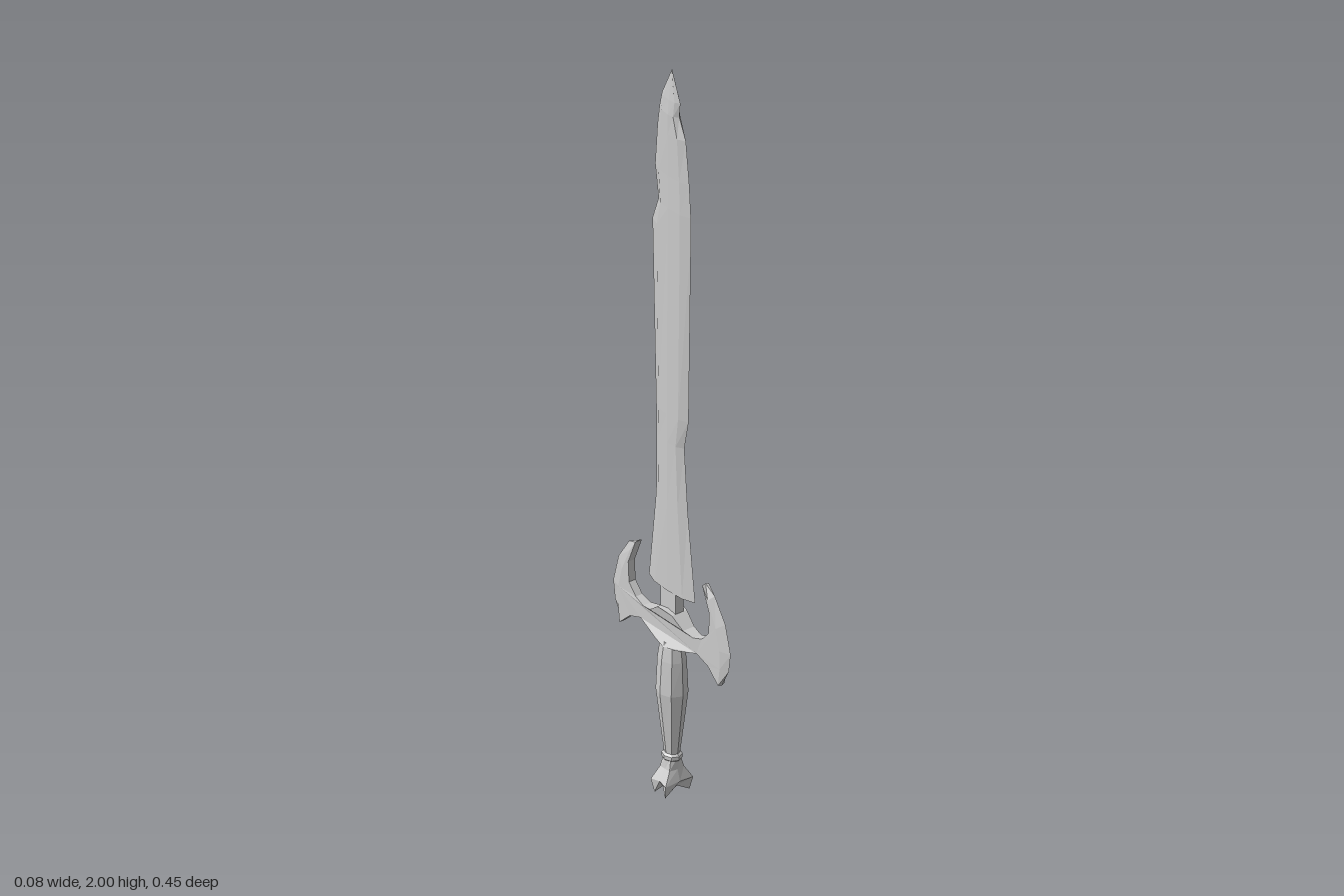
import * as THREE from 'three';

const material = new THREE.MeshStandardMaterial({ color: 0xcccccc, flatShading: true });

// Skins a stack of rings (arrays of [x, y, z], counter-clockwise from above, bottom to top) and caps both ends.
function loft(name, rings) {
  const pos = [];
  const n = rings[0].length;
  const middle = (ring) => [0, 1, 2].map((k) => ring.reduce((s, p) => s + p[k], 0) / n);
  const first = rings[0], last = rings[rings.length - 1];
  const bottom = middle(first), top = middle(last);
  for (let j = 0; j < n; j++) {
    const k = (j + 1) % n;
    for (let i = 0; i < rings.length - 1; i++) {
      const a = rings[i][j], b = rings[i][k], c = rings[i + 1][k], d = rings[i + 1][j];
      pos.push(...a, ...b, ...c, ...a, ...c, ...d);
    }
    pos.push(...bottom, ...first[k], ...first[j], ...top, ...last[j], ...last[k]);
  }
  const geometry = new THREE.BufferGeometry();
  geometry.setAttribute('position', new THREE.Float32BufferAttribute(pos, 3));
  geometry.computeVertexNormals();
  const mesh = new THREE.Mesh(geometry, material);
  mesh.name = name;
  return mesh;
}

// Eight-sided ring with separate half widths in x and z.
function octagon(y, rx, rz) {
  return Array.from({ length: 8 }, (_, i) => {
    const a = (i * Math.PI) / 4;
    return [rx * Math.cos(a), y, -rz * Math.sin(a)];
  });
}

// Ridged, bevelled blade; each row is height, reach to -z, reach to +z, half thickness.
function makeBlade() {
  const rows = [
    [0.56, 0.087, 0.088, 0.015], [0.8, 0.06, 0.06, 0.015], [0.97, 0.058, 0.047, 0.015],
    [1.05, 0.06, 0.063, 0.015], [1.555, 0.074, 0.072, 0.014], [1.62, 0.051, 0.072, 0.014],
    [1.71, 0.064, 0.066, 0.013], [1.825, 0.055, 0.053, 0.013], [1.88, 0.047, 0.028, 0.013],
    [1.92, 0.038, 0.032, 0.01], [2.0, 0.0005, 0.0005, 0.0005],
  ];
  return loft('blade', rows.map(([y, back, front, t]) => [
    [t, y, 0], [t * 0.8, y, -back * 0.6], [0, y, -back], [-t * 0.8, y, -back * 0.6],
    [-t, y, 0], [-t * 0.8, y, front * 0.6], [0, y, front], [t * 0.8, y, front * 0.6],
  ]));
}

// Crossguard body, thickest at the centre, with a horned end on each side.
function makeGuardBody() {
  const half = [
    [0.028, 0.505], [0.063, 0.478], [0.095, 0.472], [0.125, 0.482], [0.151, 0.51], [0.154, 0.565],
    [0.127, 0.632], [0.148, 0.6], [0.178, 0.535], [0.192, 0.48], [0.193, 0.43], [0.187, 0.382],
    [0.148, 0.418], [0.106, 0.433], [0.04, 0.413],
  ];
  const outline = [[0, 0.51], ...half, [0, 0.408], ...half.slice().reverse().map(([z, y]) => [-z, y])];
  const shape = new THREE.Shape(outline.map(([z, y]) => new THREE.Vector2(z, y)));
  const geometry = new THREE.ExtrudeGeometry(shape, { depth: 1, bevelEnabled: false });
  geometry.translate(0, 0, -0.5).rotateY(-Math.PI / 2);
  const p = geometry.attributes.position;
  for (let i = 0; i < p.count; i++) {
    const away = Math.min(Math.abs(p.getZ(i)) / 0.11, 1);
    p.setX(i, p.getX(i) * 2 * THREE.MathUtils.lerp(0.027, 0.01, away));
  }
  geometry.computeVertexNormals();
  const mesh = new THREE.Mesh(geometry, material);
  mesh.name = 'guardBody';
  return mesh;
}

// Sharpened outer edge of one guard end; rows are height, inner z, outer height, outer z.
function makeGuardEdge(name) {
  const rows = [
    [0.382, 0.187, 0.38, 0.189], [0.43, 0.193, 0.43, 0.216], [0.48, 0.192, 0.48, 0.223],
    [0.535, 0.178, 0.555, 0.203], [0.6, 0.148, 0.615, 0.163], [0.632, 0.127, 0.634, 0.128],
  ];
  return loft(name, rows.map(([y, inner, edgeY, outer]) => [
    [-0.01, y, inner], [0, edgeY, outer], [0.01, y, inner],
  ]));
}

// Flared pommel foot with four low corners and raised hollows between them.
function makePommel() {
  const flare = (y, x, z, lift, pinch) => [
    [x * pinch, y + lift, 0], [x, y, -z], [0, y + lift, -z * pinch * 1.2], [-x, y, -z],
    [-x * pinch, y + lift, 0], [-x, y, z], [0, y + lift, z * pinch * 1.2], [x, y, z],
  ];
  return loft('pommel', [
    flare(0.03, 0.012, 0.009, 0, 1), flare(0, 0.037, 0.02, 0.022, 0.75),
    flare(0.035, 0.042, 0.028, 0.004, 0.9), flare(0.068, 0.022, 0.018, 0, 1), flare(0.098, 0.015, 0.014, 0, 1.2),
  ]);
}

export function createModel() {
  const model = new THREE.Group();
  model.name = 'sword';

  const neck = new THREE.Mesh(new THREE.BoxGeometry(0.024, 0.1, 0.056), material);
  neck.name = 'bladeNeck';
  neck.position.y = 0.525;

  const guard = new THREE.Group();
  guard.name = 'guard';
  const frontEdge = makeGuardEdge('frontGuardEdge');
  const backEdge = makeGuardEdge('backGuardEdge');
  backEdge.rotation.y = Math.PI;
  guard.add(makeGuardBody(), frontEdge, backEdge);

  // Swelling eight-sided grip
  const grip = loft('grip', [
    octagon(0.1, 0.017, 0.02), octagon(0.18, 0.026, 0.03), octagon(0.28, 0.037, 0.042),
    octagon(0.37, 0.032, 0.039), octagon(0.405, 0.027, 0.034), octagon(0.418, 0.023, 0.027),
  ]);

  const ring = loft('gripRing', [
    octagon(0.088, 0.016, 0.018), octagon(0.095, 0.024, 0.027), octagon(0.105, 0.024, 0.027), octagon(0.112, 0.016, 0.019),
  ]);

  model.add(makeBlade(), neck, guard, grip, ring, makePommel());
  return model;
}
